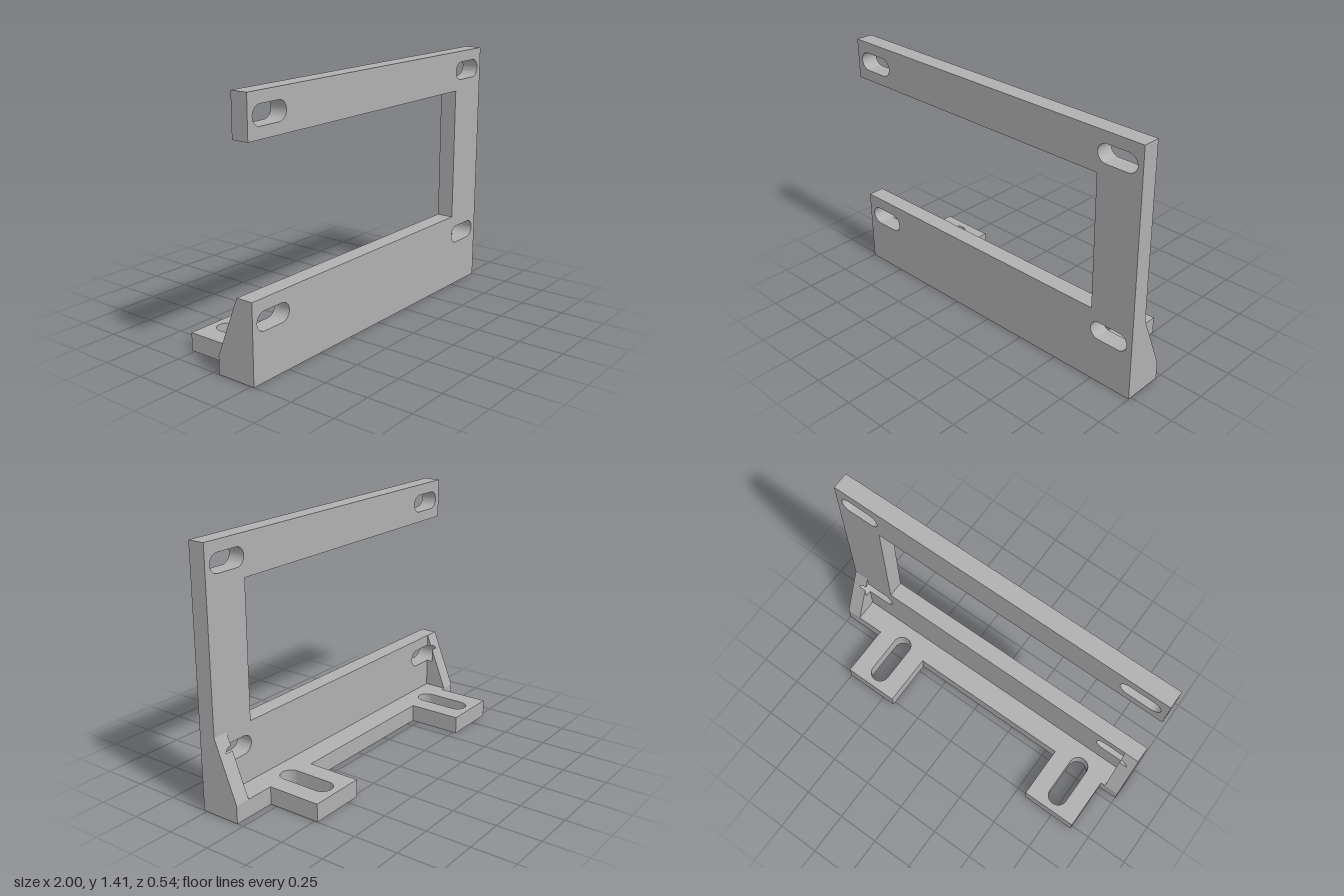
import * as THREE from 'three';
import { toCreasedNormals } from 'three/addons/utils/BufferGeometryUtils.js';

const FRONT = 0.268, PLATE_BACK = 0.171, BASE_BACK = 0.039, BACK = -0.268;
const BASE_H = 0.1, BAR_TOP = 0.43, HEIGHT = 1.41, POCKET = 0.135;
const SLOT_X = 0.917, SLOT_Y = 0.313, R = 0.051, GUSSET_IN = 0.913;

const poly = (pts) => new THREE.Shape(pts.map(([x, y]) => new THREE.Vector2(x, y)));

const arc = (cx, cy, r, a0, a1, n = 12) => Array.from({ length: n + 1 }, (_, i) => {
  const a = a0 + (a1 - a0) * i / n;
  return [cx + r * Math.cos(a), cy + r * Math.sin(a)];
});

// Rounded slot between two arc centres
function slot(x0, y0, x1, y1, r) {
  const d = Math.atan2(y1 - y0, x1 - x0), q = Math.PI / 2;
  return poly([...arc(x1, y1, r, d - q, d + q, 20), ...arc(x0, y0, r, d + q, d + 3 * q, 20)]);
}

const extrude = (shape, depth) =>
  new THREE.ExtrudeGeometry(shape, { depth, bevelEnabled: false, curveSegments: 12 });

export function createModel() {
  const model = new THREE.Group();
  model.name = 'mountingBracket';
  const grey = new THREE.MeshStandardMaterial({ color: 0xb0b0b0 });
  grey.name = 'grey';
  const add = (name, geometry, parent = model) => {
    const mesh = new THREE.Mesh(toCreasedNormals(geometry, 0.5), grey);
    mesh.name = name;
    parent.add(mesh);
  };

  // Upright C-shaped plate with four slots
  const plate = poly([[-1, 0], [1, 0], [1, HEIGHT], [-1, HEIGHT], [-1, 1.185],
    [0.738, 1.185], [0.738, BAR_TOP], [-1, BAR_TOP]]);
  for (const s of [-1, 1]) {
    for (const y of [SLOT_Y, 1.297]) {
      plate.holes.push(slot(Math.min(s * 0.789, s * SLOT_X), y, Math.max(s * 0.789, s * SLOT_X), y, R));
    }
  }
  add('uprightPlate', extrude(plate, FRONT - PLATE_BACK).translate(0, 0, PLATE_BACK));

  // Base ledge with two slotted tabs, drawn in x and -z
  const tabs = [-0.7235, 0.5865], half = 0.163;
  const outline = [[-1, -PLATE_BACK], [1, -PLATE_BACK], [1, -BASE_BACK]];
  for (const x of [...tabs].reverse()) {
    outline.push([x + half, -BASE_BACK], [x + half, -BACK], [x - half, -BACK], [x - half, -BASE_BACK]);
  }
  outline.push([-1, -BASE_BACK]);
  const base = poly(outline);
  for (const x of tabs) base.holes.push(slot(x, -0.043, x, 0.172, 0.056));
  add('baseLedge', extrude(base, BASE_H).rotateX(-Math.PI / 2));

  // Sloped end gussets, pocketed where the lower slots run into them
  const slopeZ = (y) => PLATE_BACK - (BAR_TOP - y) / (BAR_TOP - BASE_H) * (PLATE_BACK - BASE_BACK);
  const cutY = BAR_TOP - (PLATE_BACK - POCKET) / (PLATE_BACK - BASE_BACK) * (BAR_TOP - BASE_H);
  const cutA = Math.asin((cutY - SLOT_Y) / R);
  for (const s of [-1, 1]) {
    const gusset = new THREE.Group();
    gusset.name = s > 0 ? 'leftGusset' : 'rightGusset';
    model.add(gusset);
    const mirrored = (pts) => poly(pts.map(([x, y]) => [s * x, y]));

    const wedge = poly([[BASE_BACK, BASE_H], [POCKET, BASE_H], [POCKET, cutY]]);
    add('gussetWedge', extrude(wedge, 1 - GUSSET_IN).rotateY(-Math.PI / 2)
      .translate(s > 0 ? 1 : -GUSSET_IN, 0, 0), gusset);

    const lower = mirrored([[GUSSET_IN, BASE_H], [1, BASE_H], [1, cutY],
      ...arc(SLOT_X, SLOT_Y, R, cutA, -Math.PI / 2), [GUSSET_IN, SLOT_Y - R]]);
    add('gussetRoot', extrude(lower, PLATE_BACK - POCKET).translate(0, 0, POCKET), gusset);

    // Top piece: its rear face is moved onto the slope
    const upper = extrude(mirrored([[1, cutY], [1, BAR_TOP], [GUSSET_IN, BAR_TOP],
      [GUSSET_IN, SLOT_Y + R], ...arc(SLOT_X, SLOT_Y, R, Math.PI / 2, cutA)]), 1);
    const p = upper.attributes.position;
    for (let i = 0; i < p.count; i++) p.setZ(i, p.getZ(i) > 0.5 ? PLATE_BACK : slopeZ(p.getY(i)));
    add('gussetTip', upper, gusset);
  }
  return model;
}
